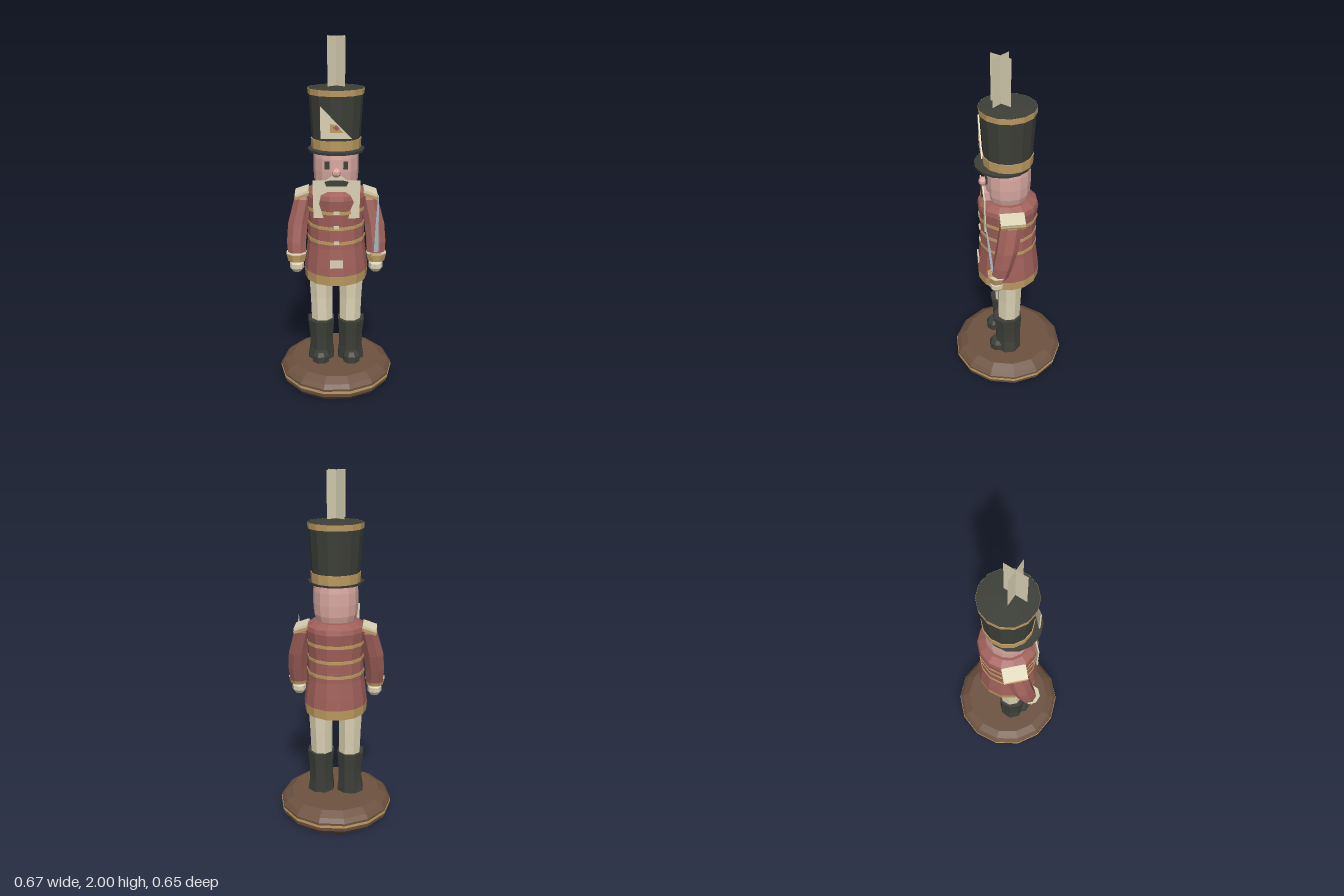
import * as THREE from 'three';

const mat = (name, color) => {
  const m = new THREE.MeshStandardMaterial({ color, side: THREE.DoubleSide });
  m.name = name;
  return m;
};

export function createModel() {
  const red = mat('coat red', 0xa0605a), pink = mat('skin pink', 0xd8a8a0);
  const cream = mat('cream', 0xdad2b4), gold = mat('gold', 0xbf9c62);
  const black = mat('black', 0x3d3f38), brown = mat('wood brown', 0x6d5240);
  const steel = mat('steel', 0xa8bec4);
  const model = new THREE.Group();
  model.name = 'toySoldier';

  // Adds a faceted mesh
  const add = (name, geo, material, x = 0, y = 0, z = 0, parent = model) => {
    const g = geo.index ? geo.toNonIndexed() : geo;
    g.computeVertexNormals();
    const mesh = new THREE.Mesh(g, material);
    mesh.name = name;
    mesh.position.set(x, y, z);
    parent.add(mesh);
    return mesh;
  };
  // Fourteen-sided turned part from [radius, height] pairs
  const turned = (name, profile, material) => add(name, new THREE.LatheGeometry(
    profile.map(([r, y]) => new THREE.Vector2(r, y)), 14, Math.PI / 2), material);
  // Limb through rings of [x, y, z, radiusX, radiusZ], listed from the top
  const limb = (rings, sides = 8) => {
    const n = rings.length - 1;
    const g = new THREE.CylinderGeometry(1, 1, 1, sides, n);
    g.rotateY(Math.PI / sides);
    const p = g.attributes.position;
    for (let i = 0; i < p.count; i++) {
      const [x, y, z, rx, rz] = rings[Math.round((0.5 - p.getY(i)) * n)];
      p.setXYZ(i, x + p.getX(i) * rx, y, z + p.getZ(i) * rz);
    }
    return g;
  };
  // Thin plate cut from an outline
  const plate = (points, depth = 0.008) => new THREE.ExtrudeGeometry(
    new THREE.Shape(points.map(([x, y]) => new THREE.Vector2(x, y))), { depth, bevelEnabled: false });
  const box = (w, h, d) => new THREE.BoxGeometry(w, h, d);

  // Wooden stand
  turned('stand', [[0, 0], [0.305, 0], [0.327, 0.025], [0.33, 0.05], [0.33, 0.075],
    [0.31, 0.098], [0.265, 0.125], [0, 0.125]], brown);
  turned('standStripe', [[0.328, 0.048], [0.333, 0.048], [0.333, 0.062], [0.328, 0.062]], gold);

  // Coat
  turned('coatHem', [[0, 0.655], [0.16, 0.645], [0.178, 0.648], [0.182, 0.705]], gold);
  turned('coat', [[0.182, 0.705], [0.176, 0.76], [0.163, 0.86], [0.158, 0.98], [0.164, 1.08],
    [0.171, 1.14], [0.165, 1.165], [0.125, 1.19], [0, 1.19]], red);
  for (const [y, r] of [[0.895, 0.162], [0.98, 0.159], [1.07, 0.164]]) {
    turned('coatBraid', [[r - 0.004, y - 0.009], [r + 0.003, y - 0.009],
      [r + 0.003, y + 0.009], [r - 0.004, y + 0.009]], gold);
  }
  add('buckle', box(0.072, 0.045, 0.008), cream, 0, 0.778, 0.174);
  for (const y of [0.9, 0.99, 1.075]) add('button', box(0.03, 0.018, 0.008), cream, 0, y, 0.161);

  // Legs, boots and arms, mirrored
  for (const s of [1, -1]) {
    add('leg', limb([[s * 0.087, 0.67, 0, 0.075, 0.075], [s * 0.085, 0.52, 0, 0.068, 0.07],
      [s * 0.082, 0.36, 0.005, 0.065, 0.068]]), cream);
    add('boot', limb([[s * 0.088, 0.38, 0.013, 0.082, 0.088], [s * 0.086, 0.28, 0.01, 0.073, 0.08],
      [s * 0.086, 0.2, 0.008, 0.073, 0.078], [s * 0.088, 0.12, 0.008, 0.083, 0.078]]), black);
    add('bootToe', limb([[s * 0.09, 0.19, 0.075, 0.035, 0.035], [s * 0.09, 0.165, 0.075, 0.052, 0.05],
      [s * 0.09, 0.122, 0.075, 0.052, 0.05]]), black);

    add('sleeve', limb([[s * 0.178, 1.155, -0.002, 0.032, 0.045], [s * 0.185, 1.12, 0.004, 0.052, 0.064],
      [s * 0.215, 0.98, 0.03, 0.06, 0.062], [s * 0.224, 0.88, 0.055, 0.058, 0.057],
      [s * 0.222, 0.8, 0.073, 0.053, 0.05]]), red);
    add('cuff', limb([[s * 0.225, 0.818, 0.085, 0.06, 0.057], [s * 0.224, 0.775, 0.088, 0.05, 0.048]]), gold);
    add('cuffTop', limb([[s * 0.225, 0.822, 0.085, 0.06, 0.057], [s * 0.225, 0.817, 0.085, 0.06, 0.057]]), cream);
    add('hand', new THREE.SphereGeometry(0.043, 8, 5), cream, s * 0.223, 0.745, 0.09);

    // Sloping epaulette with gold edge
    const epaulette = new THREE.Group();
    epaulette.name = 'epaulette';
    epaulette.position.set(s * 0.188, 1.148, -0.003);
    epaulette.rotation.z = -s * 0.33;
    add('epauletteTop', box(0.08, 0.014, 0.134), cream, 0, 0.008, 0, epaulette);
    add('epauletteEdge', box(0.088, 0.016, 0.136), gold, s * 0.003, -0.007, 0, epaulette);
    model.add(epaulette);

    add('eye', box(0.026, 0.042, 0.009), black, s * 0.05, 1.33, 0.121);
  }

  // Head and face
  turned('head', [[0, 1.195], [0.112, 1.195], [0.122, 1.23], [0.126, 1.29], [0.125, 1.36],
    [0.118, 1.41]], pink);
  add('nose', new THREE.SphereGeometry(0.026, 8, 5), pink, 0, 1.293, 0.135);
  add('jaw', box(0.11, 0.05, 0.045), pink, 0, 1.225, 0.113);
  add('beard', plate([[-0.13, 1.25], [-0.06, 1.25], [-0.03, 1.272], [0.03, 1.272], [0.06, 1.25],
    [0.13, 1.25], [0.125, 1.04], [0.055, 1.035], [0.095, 1.13], [0.075, 1.17], [0.05, 1.188],
    [-0.05, 1.188], [-0.085, 1.17], [-0.095, 1.12], [-0.07, 1.04], [-0.125, 1.04]]), cream, 0, 0, 0.135);
  add('mouth', plate([[-0.055, 1.222], [0.055, 1.222], [0.065, 1.245], [0.035, 1.253],
    [-0.035, 1.253], [-0.065, 1.245]]), black, 0, 0, 0.141);

  // Tall hat
  const brim = turned('hatBrim', [[0, 1.395], [0.155, 1.395], [0.157, 1.408], [0, 1.412]], black);
  brim.position.z = 0.026;
  turned('hatBand', [[0.136, 1.408], [0.139, 1.462], [0.132, 1.462]], gold);
  turned('hat', [[0.134, 1.46], [0.148, 1.705]], black);
  turned('hatRim', [[0.147, 1.7], [0.153, 1.7], [0.155, 1.732], [0.15, 1.732]], gold);
  turned('hatTop', [[0.154, 1.732], [0, 1.735]], black);
  add('hatBadge', plate([[-0.085, 1.48], [0.082, 1.48], [-0.085, 1.65]]), cream, 0, 0, 0.14);
  add('badgeDiamond', plate([[-0.035, 1.512], [0.038, 1.512], [0, 1.553], [-0.035, 1.56]], 0.003), gold, 0, 0, 0.147);
  add('badgeCentre', plate([[-0.02, 1.54], [0, 1.522], [0.018, 1.536], [0, 1.553]], 0.002), red, 0, 0, 0.15);

  // Plume of two crossed sheets
  for (const s of [1, -1]) {
    add('plume', new THREE.PlaneGeometry(0.132, 0.255), cream, 0, 1.8725, 0.035).rotation.y = s * Math.PI / 4;
  }

  // Sword held upright in the left hand
  add('swordBlade', limb([[0.227, 1.17, 0.147, 0.003, 0.003], [0.225, 1.02, 0.13, 0.011, 0.008],
    [0.222, 0.83, 0.112, 0.018, 0.01]], 4), steel);
  add('swordGuard', box(0.06, 0.018, 0.04), gold, 0.222, 0.815, 0.115);
  add('swordGrip', limb([[0.222, 0.81, 0.112, 0.012, 0.012], [0.222, 0.72, 0.1, 0.012, 0.012]], 6), gold);

  return model;
}
